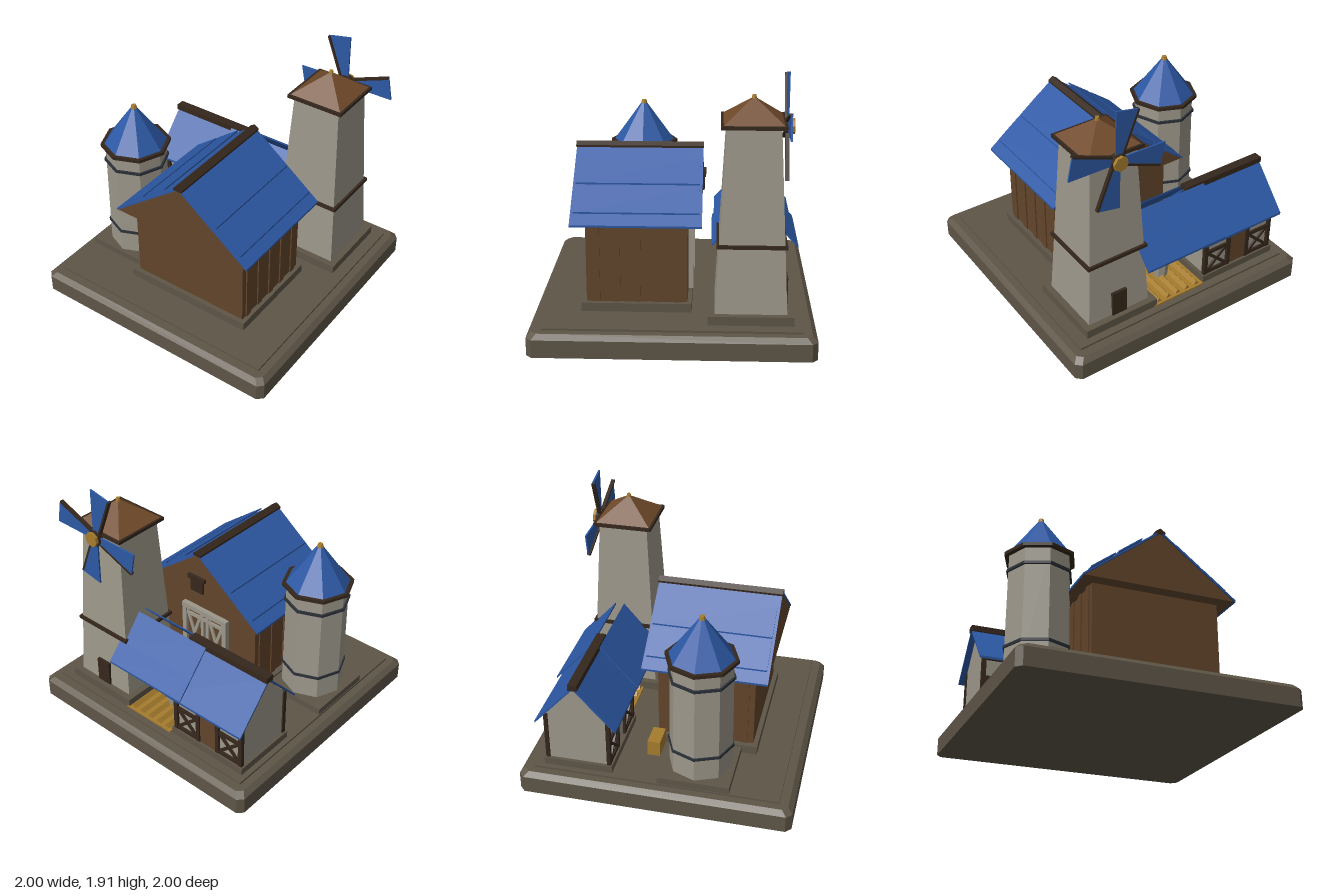
import * as THREE from 'three';

const mat = (name, color) => {
  const m = new THREE.MeshStandardMaterial({ color });
  m.name = name;
  return m;
};

export function createModel() {
  const root = new THREE.Group();
  root.name = 'farmstead';
  const stone = mat('ground stone', 0x5e5547), pale = mat('pale wall', 0x9c978a);
  const blue = mat('blue roof', 0x2c58a4), brown = mat('barn wood', 0x62452b);
  const dark = mat('dark timber', 0x35271c), gold = mat('gold', 0xa67c2e);
  const shingle = mat('brown shingle', 0x704a2a), slate = mat('slate band', 0x2b3038);

  const group = (name, x = 0, z = 0) => {
    const g = new THREE.Group();
    g.name = name;
    g.position.set(x, 0, z);
    root.add(g);
    return g;
  };
  // every surface is faceted
  const add = (parent, name, geo, material, x = 0, y = 0, z = 0) => {
    const g = geo.index ? geo.toNonIndexed() : geo;
    g.computeVertexNormals();
    const m = new THREE.Mesh(g, material);
    m.name = name;
    m.position.set(x, y, z);
    parent.add(m);
    return m;
  };
  // box given by its extents
  const box = (p, name, material, x0, x1, y0, y1, z0, z1) =>
    add(p, name, new THREE.BoxGeometry(x1 - x0, y1 - y0, z1 - z0), material,
      (x0 + x1) / 2, (y0 + y1) / 2, (z0 + z1) / 2);
  // square frustum measured by half widths
  const square = (p, name, material, bottom, top, y0, y1) =>
    add(p, name, new THREE.CylinderGeometry(top * Math.SQRT2, bottom * Math.SQRT2, y1 - y0, 4)
      .rotateY(Math.PI / 4), material, 0, (y0 + y1) / 2, 0);
  const octagon = (p, name, material, bottom, top, y0, y1) =>
    add(p, name, new THREE.CylinderGeometry(top, bottom, y1 - y0, 8), material, 0, (y0 + y1) / 2, 0);
  // polygon drawn in XY, extruded along z from z0 to z1
  const prism = (pts, z0, z1) => new THREE.ExtrudeGeometry(
    new THREE.Shape(pts.map(([x, y]) => new THREE.Vector2(x, y))),
    { depth: z1 - z0, bevelEnabled: false }).translate(0, 0, z0);
  // mirrored pair of sloping slabs, from (u0,y0) down to (u1,y1)
  const slopes = (p, name, u0, y0, u1, y1, t, z0, z1, alongX) => {
    for (const s of [-1, 1]) {
      const g = prism([[s * u0, y0 - t], [s * u0, y0], [s * u1, y1], [s * u1, y1 - t]], z0, z1);
      if (alongX) g.rotateY(Math.PI / 2);
      add(p, name, g, blue);
    }
  };

  // Base slab with cut corners and a chamfered top edge
  const base = group('base');
  const ring = (h, c) => [[-h, -h + c], [-h + c, -h], [h - c, -h], [h, -h + c],
    [h, h - c], [h - c, h], [-h + c, h], [-h, h - c]];
  const slab = (y) => prism(ring(1, 0.04), 0, y).rotateX(-Math.PI / 2);
  add(base, 'baseSlab', slab(0.13), stone);
  const cap = slab(0.035);
  const cp = cap.attributes.position;
  for (let i = 0; i < cp.count; i++) {
    if (cp.getY(i) > 0.02) cp.setXYZ(i, cp.getX(i) * 0.965, cp.getY(i), cp.getZ(i) * 0.965);
  }
  add(base, 'baseChamfer', cap, stone, 0, 0.13, 0);
  box(base, 'yard', stone, -0.91, 0.91, 0.16, 0.18, -0.9, 0.9);

  // Barn, ridge running along z
  const barn = group('barn', 0.1, 0);
  box(barn, 'barnPlinth', stone, -0.52, 0.51, 0.17, 0.245, -0.13, 0.655);
  box(barn, 'barnWalls', brown, -0.475, 0.475, 0.245, 0.84, -0.1, 0.62);
  add(barn, 'barnGable', prism([[-0.565, 0.838], [0.565, 0.838], [0, 1.27]], -0.195, 0.715), brown);
  slopes(barn, 'barnRoof', 0, 1.29, 0.575, 0.85, 0.015, -0.2, 0.72);
  for (const [a, b] of [[0.13, 0.31], [0.33, 0.51]]) {
    slopes(barn, 'barnRoofPanel', a, 1.315 - 0.765 * a, b, 1.315 - 0.765 * b, 0.012, -0.18, 0.7);
  }
  add(barn, 'barnRidge', prism([[-0.036, 1.265], [0.036, 1.265], [0.036, 1.28], [0, 1.305], [-0.036, 1.28]],
    -0.205, 0.725), dark);
  for (let i = 0; i < 5; i++) {
    for (const s of [-1, 1]) {
      const z = -0.03 + i * 0.145, x = s * 0.479;
      box(barn, 'barnBatten', brown, x - 0.006, x + 0.006, 0.247, 0.838, z - 0.027, z + 0.027);
    }
  }
  // Rear barn door with pale frame and cross braces
  box(barn, 'barnDoor', brown, -0.2, 0.2, 0.247, 0.71, -0.115, -0.1);
  for (const s of [-1, 1]) {
    box(barn, 'doorJamb', pale, s * 0.2 - 0.02, s * 0.2 + 0.02, 0.247, 0.73, -0.138, -0.1);
    box(barn, 'doorStile', pale, s * 0.025 - 0.014, s * 0.025 + 0.014, 0.247, 0.69, -0.13, -0.1);
    for (const d of [-1, 1]) {
      const brace = add(barn, 'doorBrace', new THREE.BoxGeometry(0.025, 0.44, 0.02), pale, s * 0.11, 0.47, -0.118);
      brace.rotation.z = d * 0.33;
    }
  }
  box(barn, 'doorHead', pale, -0.22, 0.22, 0.69, 0.73, -0.14, -0.1);
  box(barn, 'doorRail', pale, -0.2, 0.2, 0.63, 0.655, -0.132, -0.1);
  box(barn, 'loftHatch', dark, -0.06, 0.06, 0.955, 1.07, -0.212, -0.19);
  box(barn, 'loftLintel', dark, -0.08, 0.08, 1.06, 1.09, -0.222, -0.19);

  // Eight-sided silo
  const silo = group('silo', -0.64, 0.28);
  box(silo, 'siloPlinth', stone, -0.265, 0.265, 0.17, 0.23, -0.265, 0.26);
  octagon(silo, 'siloBody', pale, 0.235, 0.228, 0.23, 1.12);
  for (const y of [0.415, 0.99]) octagon(silo, 'siloBand', slate, 0.244, 0.244, y - 0.01, y + 0.01);
  octagon(silo, 'siloEave', dark, 0.263, 0.263, 1.11, 1.135);
  octagon(silo, 'siloRoof', blue, 0.235, 0.025, 1.135, 1.425);
  octagon(silo, 'siloFinial', gold, 0.027, 0.018, 1.415, 1.452);

  // Square tower mill
  const mill = group('mill', 0.52, -0.545);
  square(mill, 'millPlinth', stone, 0.3, 0.3, 0.17, 0.245);
  square(mill, 'millTower', pale, 0.252, 0.183, 0.245, 1.56);
  square(mill, 'millBand', dark, 0.245, 0.245, 0.72, 0.745);
  square(mill, 'millEave', dark, 0.222, 0.222, 1.55, 1.575);
  square(mill, 'millRoof', shingle, 0.205, 0.012, 1.575, 1.725);
  octagon(mill, 'millFinial', gold, 0.02, 0.013, 1.71, 1.748);
  box(mill, 'millDoor', dark, -0.06, 0.06, 0.245, 0.44, -0.265, -0.23);

  // Sails on the back of the mill
  const sails = new THREE.Group();
  sails.name = 'sails';
  sails.position.set(0, 1.53, -0.225);
  sails.rotation.z = 0.2;
  mill.add(sails);
  const hub = (name, r, z0, z1, m) => add(sails, name,
    new THREE.CylinderGeometry(r, r, z1 - z0, 8).rotateX(Math.PI / 2), m, 0, 0, (z0 + z1) / 2);
  hub('axle', 0.03, -0.02, 0.06, dark);
  hub('hubRing', 0.062, -0.032, 0.01, dark);
  hub('hub', 0.055, -0.055, 0, gold);
  for (let i = 0; i < 4; i++) {
    const blade = new THREE.Group();
    blade.name = 'blade';
    blade.rotation.z = i * Math.PI / 2;
    add(blade, 'sail', prism([[-0.027, 0.04], [0.027, 0.04], [0.088, 0.368], [-0.088, 0.368]], -0.014, -0.002), blue);
    add(blade, 'spar', prism([[-0.036, 0.03], [-0.02, 0.03], [-0.08, 0.366], [-0.096, 0.366]], -0.016, 0.012), dark);
    sails.add(blade);
  }

  // Timber-framed cottage, ridge running along x
  const cottage = group('cottage', -0.54, -0.58);
  box(cottage, 'cottagePlinth', stone, -0.33, 0.33, 0.17, 0.235, -0.255, 0.255);
  add(cottage, 'cottageWalls', prism([[-0.225, 0.235], [0.225, 0.235], [0.225, 0.625], [0, 0.875], [-0.225, 0.625]],
    -0.305, 0.305).rotateY(Math.PI / 2), pale);
  slopes(cottage, 'cottageRoof', 0, 0.9, 0.3, 0.57, 0.018, -0.35, 0.35, true);
  box(cottage, 'cottageRidge', dark, -0.355, 0.35, 0.875, 0.92, -0.034, 0.034);
  for (const s of [-1, 1]) {
    const z = s * 0.23;
    for (const x of [-0.3, -0.09, 0.09, 0.3]) {
      box(cottage, 'post', dark, x - 0.016, x + 0.016, 0.235, 0.62, z - 0.015, z + 0.015);
    }
    for (const y of [0.25, 0.43, 0.585]) {
      for (const x of [-0.195, 0.195]) {
        box(cottage, 'rail', dark, x - 0.105, x + 0.105, y - 0.014, y + 0.014, z - 0.012, z + 0.012);
      }
    }
    box(cottage, 'lintel', dark, -0.11, 0.11, 0.515, 0.545, z - 0.018, z + 0.018);
    for (const x of [-0.195, 0.195]) {
      for (const d of [-1, 1]) {
        const brace = add(cottage, 'brace', new THREE.BoxGeometry(0.022, 0.24, 0.02), dark, x, 0.34, z);
        brace.rotation.z = d * 0.82;
      }
    }
  }
  box(cottage, 'cottageDoor', brown, -0.072, 0.072, 0.235, 0.515, -0.236, -0.2);

  // Open lean-to roof between cottage and mill
  const shelter = group('shelter', 0, -0.58);
  for (const [a, b] of [[0.033, 0.2], [0.195, 0.315]]) {
    slopes(shelter, 'shelterRoof', a, 0.94 - 1.1 * a, b, 0.94 - 1.1 * b, 0.016, -0.35, 0.34, true);
  }

  // Straw yard with furrows and a stone tub beneath the shelter
  box(shelter, 'strawYard', gold, -0.2, 0.24, 0.175, 0.192, -0.27, 0.2);
  for (let i = 0; i < 5; i++) {
    const x = -0.15 + i * 0.085;
    add(shelter, 'furrow', prism([[x - 0.025, 0.19], [x + 0.025, 0.19], [x, 0.222]], -0.25, 0.18), gold);
  }
  octagon(shelter, 'tub', pale, 0.055, 0.07, 0.19, 0.34);
  octagon(shelter, 'tubHoop', gold, 0.078, 0.078, 0.325, 0.345);
  square(shelter, 'tubLid', pale, 0.035, 0.035, 0.34, 0.38);

  // Straw bale beside the barn
  box(root, 'strawBale', gold, -0.6, -0.42, 0.18, 0.3, -0.13, -0.035 + 0.0);
  return root;
}
